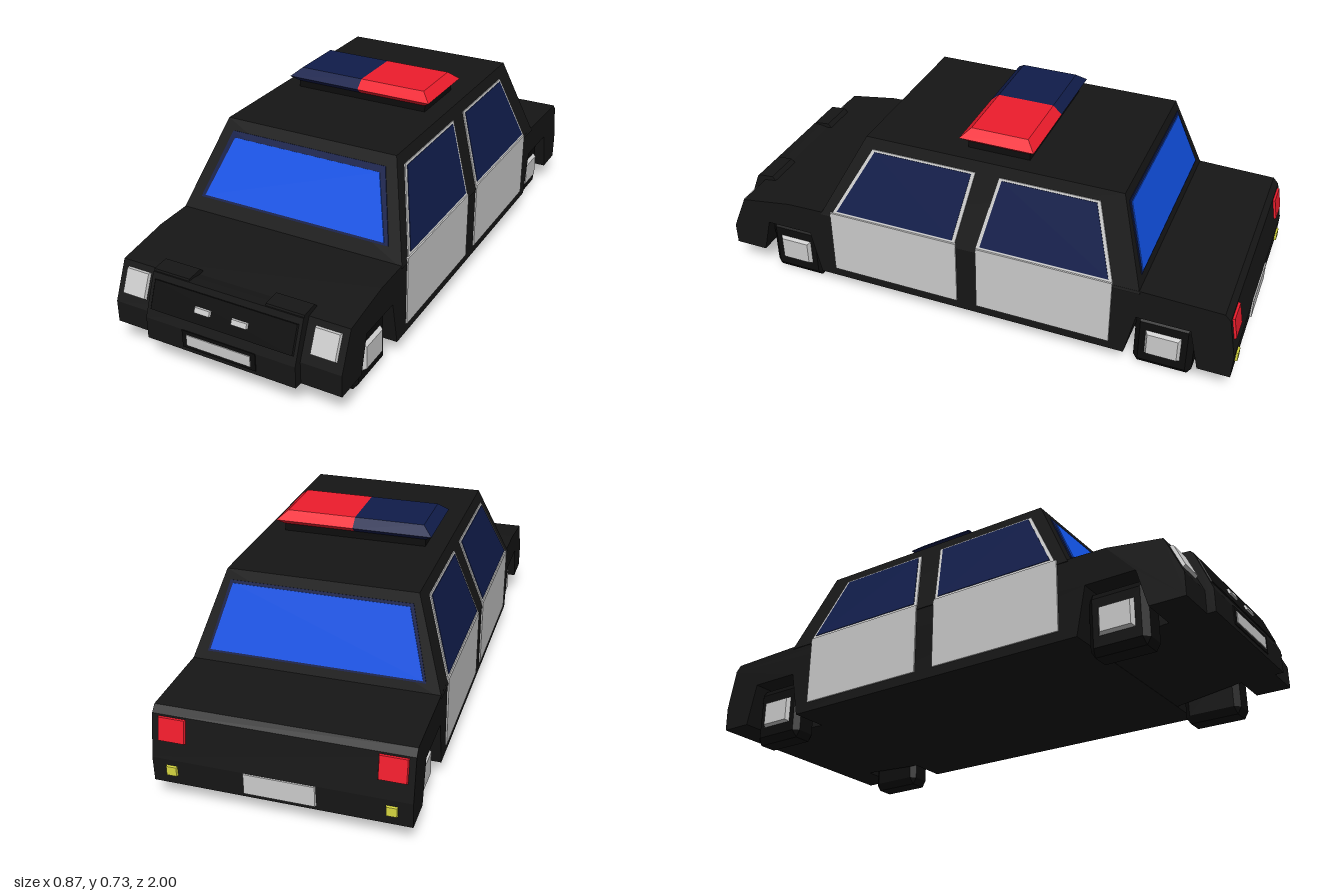
import * as THREE from 'three';
import { ConvexGeometry } from 'three/addons/geometries/ConvexGeometry.js';

const mat = (color) => new THREE.MeshStandardMaterial({ color, flatShading: true });
const MATS = {
  body: mat(0x161616), trim: mat(0x0d0d0d), grey: mat(0xcccccc), glass: mat(0x1152e6),
  navy: mat(0x101c4a), red: mat(0xee1c2c), yellow: mat(0xd8d840),
};
const V = (x, y, z) => new THREE.Vector3(x, y, z);

export function createModel() {
  const car = new THREE.Group();
  car.name = 'patrolCar';

  const add = (name, geometry, material) => {
    const mesh = new THREE.Mesh(geometry, MATS[material]);
    mesh.name = name;
    car.add(mesh);
    return mesh;
  };
  const hull = (name, points, material) => add(name, new ConvexGeometry(points), material);

  // Side profile given as [z, y], extruded across the width
  const extrude = (name, profile, x0, x1, material) => {
    const shape = new THREE.Shape(profile.map(([z, y]) => new THREE.Vector2(-z, y)));
    const geo = new THREE.ExtrudeGeometry(shape, { depth: x1 - x0, bevelEnabled: false });
    geo.rotateY(Math.PI / 2).translate(x0, 0, 0);
    return add(name, geo, material);
  };

  // Thin raised panel on a quad, its outer face scaled by shrink
  const slab = (name, quad, lift, shrink, material) => {
    const mid = quad.reduce((s, p) => s.add(p), V(0, 0, 0)).divideScalar(4);
    const outer = quad.map((p) => mid.clone().lerp(p, shrink).add(lift));
    return hull(name, [...quad.map((p) => p.clone().addScaledVector(lift, -0.5)), ...outer], material);
  };
  const scaled = (quad, s) => {
    const mid = quad.reduce((a, p) => a.add(p), V(0, 0, 0)).divideScalar(4);
    return quad.map((p) => mid.clone().lerp(p, s));
  };
  // Upright quad between two heights on a front or rear surface z(y)
  const faceQuad = (xa, xb, y0, y1, z) => [
    V(xa, y0, z(y0)), V(xb, y0, z(y0)), V(xb, y1, z(y1)), V(xa, y1, z(y1))];
  // Tapered pane, symmetric about the centre line
  const paneQuad = (w0, w1, y0, y1, z) => [
    V(-w0, y0, z(y0)), V(w0, y0, z(y0)), V(w1, y1, z(y1)), V(-w1, y1, z(y1))];

  // Lower body with wheel arches
  extrude('lowerBody', [
    [0.96, 0.1], [0.835, 0.1], [0.8, 0.235], [0.62, 0.235], [0.585, 0.065],
    [-0.615, 0.065], [-0.65, 0.235], [-0.84, 0.235], [-0.875, 0.08],
    [-0.99, 0.08], [-0.993, 0.17], [-0.965, 0.32], [-0.945, 0.342],
    [-0.655, 0.35], [0.56, 0.348], [0.7, 0.345], [0.9, 0.315], [0.96, 0.18],
  ], -0.432, 0.432, 'body');
  // Floor between the wheels
  extrude('underbody', [
    [0.94, 0.1], [0.82, 0.1], [0.585, 0.066], [-0.615, 0.066], [-0.87, 0.08],
    [-0.95, 0.08], [-0.95, 0.3], [0.88, 0.3],
  ], -0.29, 0.29, 'body');

  // Cabin
  hull('cabin', [-1, 1].flatMap((s) => [
    V(s * 0.435, 0.34, 0.562), V(s * 0.435, 0.34, -0.657),
    V(s * 0.33, 0.655, 0.4), V(s * 0.33, 0.655, -0.555),
  ]), 'body');

  // Windscreen and rear window
  const frontGlass = (y) => 0.56 - 0.516 * (y - 0.345);
  const rearGlass = (y) => -0.655 + 0.323 * (y - 0.345);
  slab('windscreenFrame', paneQuad(0.372, 0.3, 0.393, 0.618, frontGlass), V(0, 0.001, 0.003), 1, 'navy');
  slab('windscreen', paneQuad(0.355, 0.285, 0.4, 0.597, frontGlass), V(0, 0.003, 0.006), 1, 'glass');
  slab('rearWindowFrame', paneQuad(0.38, 0.315, 0.38, 0.62, rearGlass), V(0, 0.001, -0.003), 1, 'navy');
  slab('rearWindow', paneQuad(0.37, 0.305, 0.387, 0.61, rearGlass), V(0, 0.002, -0.006), 1, 'glass');

  // Nose piece, hood bumps and front fittings
  extrude('nose', [
    [0.99, 0.1], [0.9, 0.1], [0.83, 0.312], [0.9, 0.325], [0.932, 0.325], [0.99, 0.18],
  ], -0.285, 0.285, 'body');
  const nose = (y) => (y > 0.18 ? 0.99 - 0.4 * (y - 0.18) : 0.99);
  slab('grille', faceQuad(-0.275, 0.275, 0.21, 0.305, nose), V(0, 0.001, 0.004), 0.98, 'trim');
  slab('plateHolder', faceQuad(-0.14, 0.14, 0.115, 0.18, nose), V(0, 0, 0.003), 1, 'trim');
  slab('frontPlate', faceQuad(-0.122, 0.122, 0.127, 0.167, nose), V(0, 0, 0.006), 1, 'grey');
  const fender = (y) => 0.96 - 0.444 * (y - 0.18);
  const tail = (y) => -0.993 + 0.187 * (y - 0.17);

  const sideX = (y) => 0.435 - 0.333 * Math.max(0, y - 0.34);
  // Window outlines as [z, y] and door spans in z
  const doors = [
    { name: 'front', z0: 0.52, z1: 0.017, pane: [[0.51, 0.358], [0.02, 0.358], [-0.027, 0.615], [0.37, 0.615]] },
    { name: 'rear', z0: -0.06, z1: -0.56, pane: [[-0.06, 0.358], [-0.56, 0.358], [-0.478, 0.615], [-0.115, 0.615]] },
  ];

  for (const [side, s] of [['left', 1], ['right', -1]]) {
    hull(`${side}HoodBump`, [0.145, 0.285].flatMap((x) => [
      V(s * x, 0.3, 0.83), V(s * x, 0.337, 0.865), V(s * x, 0.332, 0.925), V(s * x, 0.3, 0.935),
    ]), 'body');
    slab(`${side}Headlight`, faceQuad(s * 0.313, s * 0.41, 0.21, 0.297, fender), V(0, 0.004, 0.01), 0.9, 'grey');
    slab(`${side}GrilleBar`, faceQuad(s * 0.037, s * 0.104, 0.245, 0.265, nose), V(0, 0.002, 0.012), 0.85, 'grey');
    slab(`${side}TailLight`, faceQuad(s * 0.315, s * 0.412, 0.23, 0.315, tail), V(0, 0.002, -0.008), 0.92, 'red');
    slab(`${side}RearMarker`, faceQuad(s * 0.345, s * 0.385, 0.112, 0.15, () => -0.991), V(0, 0, -0.009), 0.85, 'yellow');

    // Doors and side windows
    for (const { name, z0, z1, pane } of doors) {
      const door = [[z0, 0.1], [z1, 0.1], [z1, 0.357], [z0, 0.357]].map(([z, y]) => V(s * 0.432, y, z));
      slab(`${side}${name}Door`, door, V(s * 0.005, 0, 0), 1, 'grey');
      const quad = pane.map(([z, y]) => V(s * sideX(y), y, z));
      slab(`${side}${name}WindowFrame`, quad, V(s * 0.004, 0.001, 0), 1, 'grey');
      slab(`${side}${name}Window`, scaled(quad, 0.94), V(s * 0.006, 0.002, 0), 1, 'navy');
    }

    // Chamfered wheels with square hubs
    for (const [name, z] of [['front', 0.71], ['rear', -0.745]]) {
      const points = [];
      for (const a of [-1, 1]) for (const b of [-1, 1]) for (const c of [-1, 1]) {
        for (const [x, y, d] of [[0.05, 0.085, 0.085], [0.032, 0.11, 0.09], [0.032, 0.085, 0.105]]) {
          points.push(V(s * 0.35 + a * x, 0.11 + b * y, z + c * d));
        }
      }
      hull(`${side}${name}Wheel`, points, 'trim');
      const hub = [[-1, -1], [1, -1], [1, 1], [-1, 1]].map(([c, b]) => V(s * 0.4, 0.112 + b * 0.053, z + c * 0.068));
      slab(`${side}${name}Hub`, hub, V(s * 0.014, 0, 0), 0.8, 'grey');
    }

    // Half of the roof light bar
    hull(`${side}RoofLight`, [[0.26, 0.68, 0.115], [0.285, 0.7, 0.138], [0.25, 0.73, 0.105]].flatMap(
      ([x, y, d]) => [0, s * x].flatMap((px) => [V(px, y, -0.078 + d), V(px, y, -0.078 - d)])
    ), s > 0 ? 'red' : 'navy');
  }

  slab('rearPlate', faceQuad(-0.122, 0.122, 0.095, 0.17, () => -0.992), V(0, 0, -0.006), 0.97, 'grey');
  add('lightBarBase', new THREE.BoxGeometry(0.52, 0.04, 0.23), 'trim').position.set(0, 0.665, -0.08);

  return car;
}
